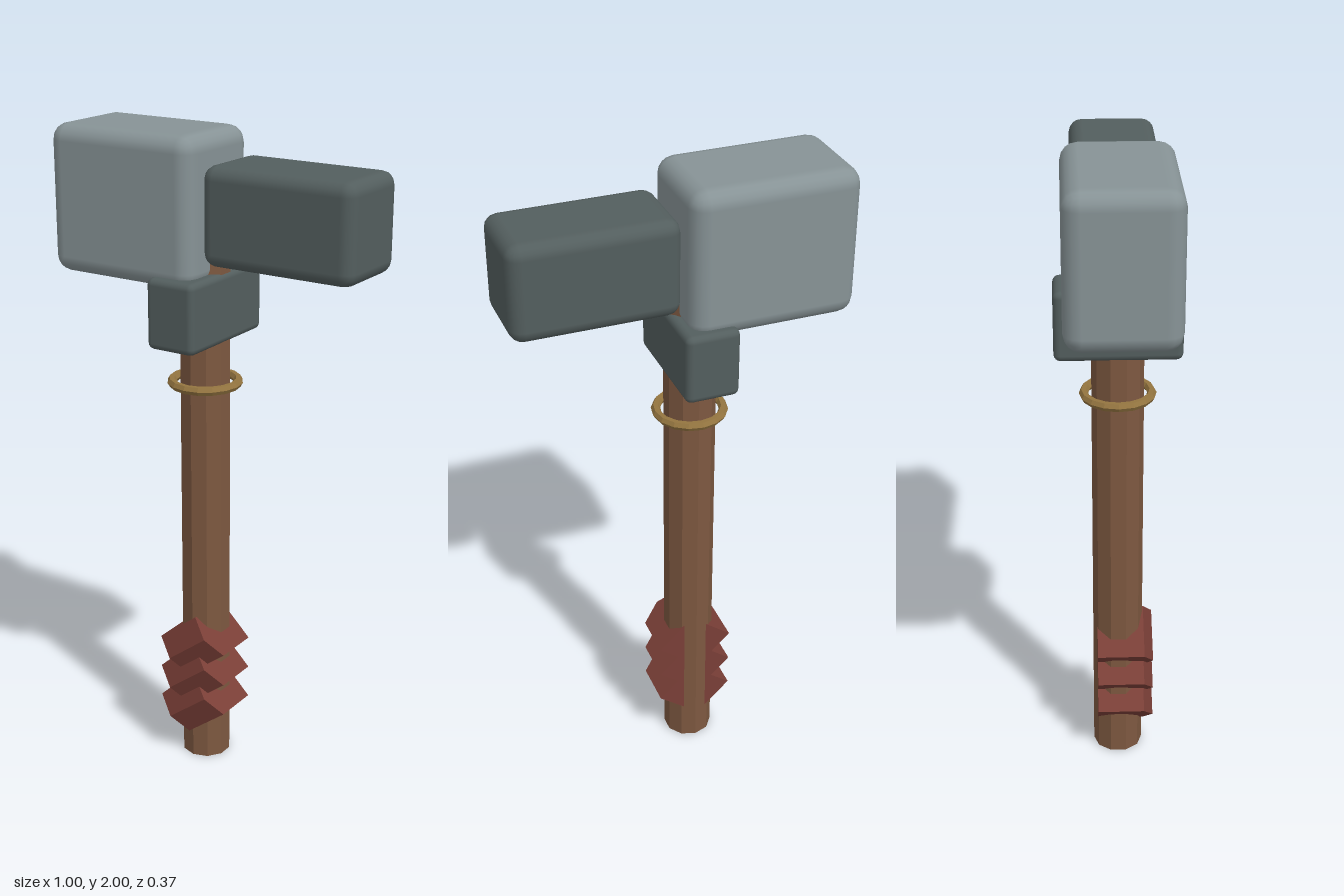
import * as THREE from 'three';
import { RoundedBoxGeometry } from 'three/addons/geometries/RoundedBoxGeometry.js';

const AXIS_X = -0.056; // handle axis

export function createModel() {
  const model = new THREE.Group();
  model.name = 'hammer';

  const material = (name, color, flatShading = false) => {
    const m = new THREE.MeshStandardMaterial({ color, flatShading });
    m.name = name;
    return m;
  };
  const paleSteel = material('paleSteel', 0x879396);
  const darkSteel = material('darkSteel', 0x535e5e);
  const wood = material('wood', 0x7d5840, true);
  const leather = material('leather', 0x7a3f37, true);
  const brass = material('brass', 0x947540, true);

  const add = (name, geometry, mat, x = 0, y = 0, z = 0) => {
    const mesh = new THREE.Mesh(geometry, mat);
    mesh.name = name;
    mesh.position.set(x, y, z);
    model.add(mesh);
    return mesh;
  };
  // Rounded block given by its lower and upper limits
  const block = (name, mat, [x0, x1], [y0, y1], halfDepth, radius) =>
    add(name, new RoundedBoxGeometry(x1 - x0, y1 - y0, halfDepth * 2, 2, radius),
      mat, (x0 + x1) / 2, (y0 + y1) / 2, 0);

  // Head: broad striking block, slimmer rear block, and the collar below
  block('strikingBlock', paleSteel, [-0.5, -0.003], [1.562, 2], 0.159, 0.05);
  block('rearBlock', darkSteel, [0.012, 0.497], [1.637, 1.923], 0.129, 0.04);
  block('collar', darkSteel, [-0.137, 0.025], [1.387, 1.598], 0.185, 0.02);

  // Handle
  add('handle', new THREE.CylinderGeometry(0.077, 0.077, 1.68, 10), wood, AXIS_X, 0.84, 0);

  // Brass ring
  add('ring', new THREE.TorusGeometry(0.1, 0.014, 6, 16).rotateX(Math.PI / 2),
    brass, AXIS_X, 1.255, 0);

  // Grip wraps: slanted bars with a ridged front, run through by the handle
  const section = new THREE.Shape([
    [-0.5, -0.065], [0.5, -0.065], [0.5, 0.08], [0, 0.11], [-0.5, 0.08],
  ].map(([u, v]) => new THREE.Vector2(u, v)));
  const slant = new THREE.Matrix4().makeBasis(
    new THREE.Vector3(-0.106, 0.103, 0),
    new THREE.Vector3(0, 0, 1),
    new THREE.Vector3(0.132, 0.103, 0));
  const wrap = new THREE.ExtrudeGeometry(section, { depth: 1, bevelEnabled: false })
    .translate(0, 0, -0.5)
    .applyMatrix4(slant);
  for (let i = 0; i < 3; i++) {
    add('gripWrap' + (i + 1), wrap, leather, AXIS_X, 0.188 + i * 0.105, 0);
  }

  return model;
}
